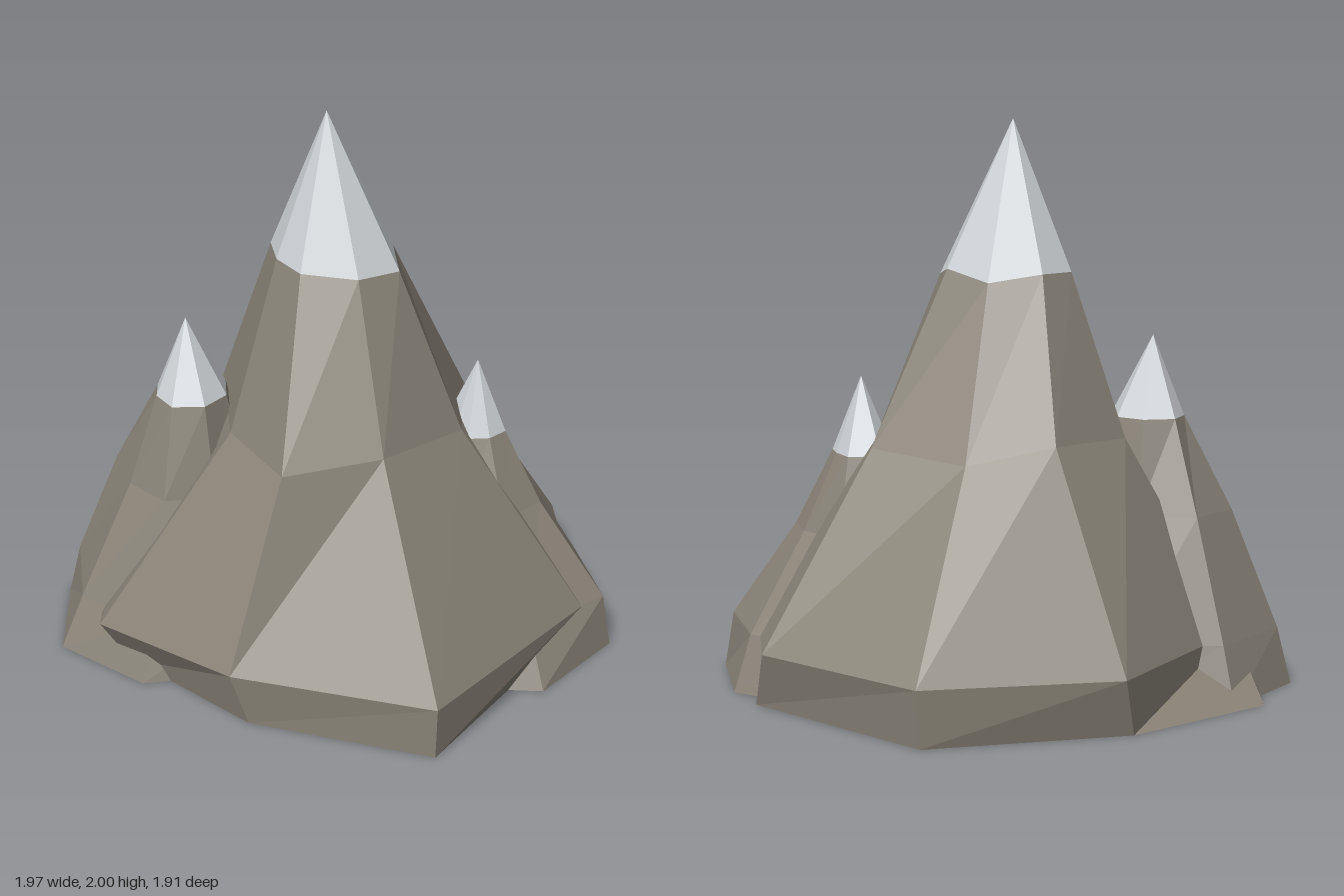
import * as THREE from 'three';

const rock = new THREE.MeshStandardMaterial({ color: 0x8a8478, flatShading: true });
const snow = new THREE.MeshStandardMaterial({ color: 0xd0d4d8, flatShading: true });

// Faceted mesh from a list of triangle corners
function facetMesh(name, corners, material) {
  const geometry = new THREE.BufferGeometry();
  geometry.setAttribute('position', new THREE.Float32BufferAttribute(corners.flat(), 3));
  geometry.computeVertexNormals();
  const mesh = new THREE.Mesh(geometry, material);
  mesh.name = name;
  return mesh;
}

// A peak: rings from the ground to the snow line, then a snow cap to the summit
function peak(name, rings, summit) {
  const n = rings[0].length;
  const rockFaces = [], snowFaces = [];
  const top = rings[rings.length - 1];
  const centre = [summit[0], 0, summit[2]];
  for (let i = 0; i < n; i++) {
    const j = (i + 1) % n;
    rockFaces.push(centre, rings[0][j], rings[0][i]);
    for (let k = 0; k < rings.length - 1; k++) {
      const a = rings[k], b = rings[k + 1];
      rockFaces.push(a[i], a[j], b[j], a[i], b[j], b[i]);
    }
    snowFaces.push(top[i], top[j], summit);
  }
  const group = new THREE.Group();
  group.name = name;
  group.add(facetMesh(name + 'Rock', rockFaces, rock), facetMesh(name + 'SnowCap', snowFaces, snow));
  return group;
}

// Eight-sided ring: right, back right, back, back left, left, front left, front, front right
function radialRing(cx, cz, y, radii) {
  return radii.map((r, i) => {
    const a = (i * Math.PI) / 4;
    return [cx + r * Math.cos(a), y, cz - r * Math.sin(a)];
  });
}

export function createModel() {
  const model = new THREE.Group();
  model.name = 'mountain';

  // Main peak
  const mainRings = [
    [[0.96, 0, 0.04], [0.72, 0, -0.72], [0.03, 0, -0.92], [-0.56, 0, -0.83],
      [-0.79, 0, -0.08], [-0.57, 0, 0.47], [-0.08, 0, 0.94], [0.62, 0, 0.55]],
    [[0.98, 0.2, -0.06], [0.74, 0.2, -0.73], [0.085, 0.2, -0.96], [-0.6, 0.2, -0.58],
      [-0.91, 0.2, -0.06], [-0.63, 0.2, 0.45], [-0.08, 0.2, 0.95], [0.7, 0.2, 0.61]],
    [[0.54, 0.87, -0.02], [0.355, 0.84, -0.36], [0.1, 0.91, -0.53], [-0.245, 0.9, -0.42],
      [-0.4, 0.88, -0.02], [-0.375, 0.88, 0.35], [-0.03, 0.91, 0.44], [0.35, 0.87, 0.31]],
    [[0.24, 1.48, -0.02], [0.175, 1.44, -0.195], [0.01, 1.47, -0.285], [-0.13, 1.47, -0.245],
      [-0.18, 1.48, -0.09], [-0.165, 1.485, 0.07], [0.01, 1.465, 0.165], [0.185, 1.45, 0.135]],
  ];
  model.add(peak('mainPeak', mainRings, [0.01, 2, -0.08]));

  // Lower peak at the front left
  const leftX = 0.455, leftZ = 0.23;
  model.add(peak('leftPeak', [
    radialRing(leftX, leftZ, 0, [0.505, 0.48, 0.48, 0.48, 0.46, 0.48, 0.535, 0.535]),
    radialRing(leftX, leftZ, 0.2, [0.44, 0.42, 0.42, 0.42, 0.41, 0.43, 0.43, 0.5]),
    radialRing(leftX, leftZ, 0.55, [0.23, 0.24, 0.23, 0.23, 0.2, 0.21, 0.22, 0.25]),
    radialRing(leftX, leftZ, 0.82, [0.1, 0.15, 0.15, 0.12, 0.09, 0.1, 0.1, 0.11]),
  ], [leftX, 1.09, leftZ]));

  // Lower peak at the back right
  const rightX = -0.455, rightZ = -0.27;
  model.add(peak('rightPeak', [
    radialRing(rightX, rightZ, 0, [0.48, 0.48, 0.53, 0.51, 0.53, 0.5, 0.46, 0.46]),
    radialRing(rightX, rightZ, 0.2, [0.42, 0.42, 0.46, 0.46, 0.44, 0.42, 0.4, 0.4]),
    radialRing(rightX, rightZ, 0.62, [0.24, 0.25, 0.29, 0.29, 0.235, 0.25, 0.23, 0.23]),
    radialRing(rightX, rightZ, 0.95, [0.15, 0.15, 0.145, 0.115, 0.12, 0.15, 0.155, 0.15]),
  ], [rightX, 1.235, rightZ]));

  return model;
}
